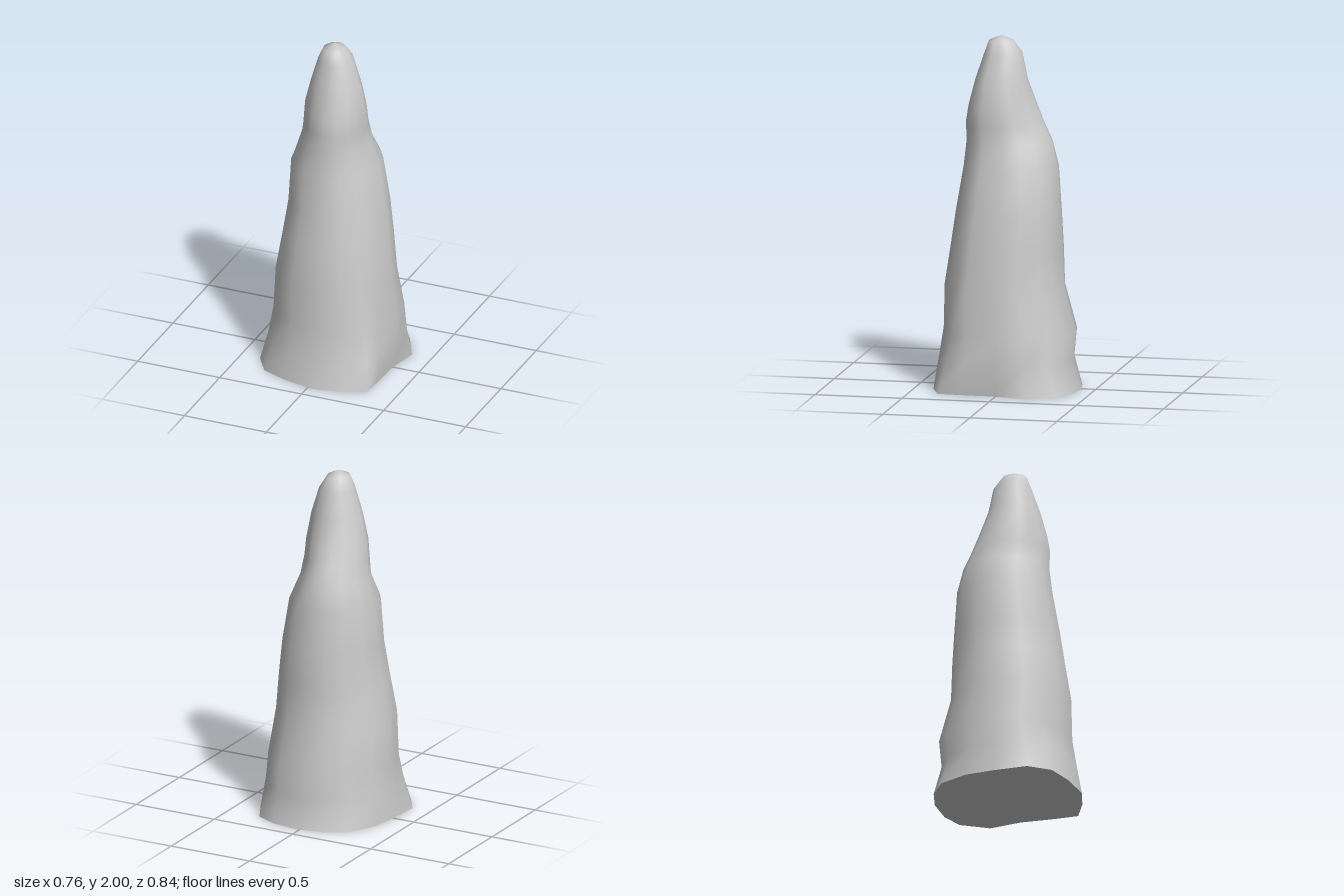
import * as THREE from 'three';

// Base outline (x, z), counter-clockwise from the front seen from above
const BASE = [
  [0.03, 0.42], [0.18, 0.39], [0.325, 0.335], [0.335, 0.2], [0.34, 0], [0.38, -0.18],
  [0.3, -0.34], [0.18, -0.4], [0.015, -0.42], [-0.13, -0.395], [-0.26, -0.325],
  [-0.345, -0.165], [-0.37, 0], [-0.385, 0.195], [-0.305, 0.32], [-0.155, 0.38],
];
const CORNER = 2; // sharp spur at the front left foot

// Each level: y, x min, x max, z min, z max, share of base outline, diagonal pinch
const LEVELS = [
  [0, -0.385, 0.385, -0.42, 0.42, 1, 0],
  [0.17, -0.365, 0.385, -0.375, 0.39, 0.6, 0],
  [0.33, -0.35, 0.365, -0.39, 0.365, 0.4, 0],
  [0.58, -0.335, 0.345, -0.32, 0.36, 0.05, 0],
  [0.8, -0.3, 0.32, -0.315, 0.325, 0, 0],
  [1.0, -0.27, 0.295, -0.305, 0.295, 0, 0],
  [1.25, -0.26, 0.25, -0.285, 0.255, 0, 0],
  [1.4, -0.21, 0.2, -0.25, 0.238, 0, 0.12],
  [1.5, -0.193, 0.195, -0.205, 0.242, 0, 0.15],
  [1.6, -0.18, 0.19, -0.165, 0.225, 0, 0.12],
  [1.75, -0.14, 0.16, -0.11, 0.185, 0, 0.06],
  [1.9, -0.095, 0.105, -0.08, 0.135, 0, 0],
  [1.97, -0.06, 0.065, -0.03, 0.11, 0, 0],
];

// One cross-section: an oval that takes on the rough foot outline near the ground
function crossSection([y, x0, x1, z0, z1, foot, pinch]) {
  const cx = (x0 + x1) / 2, cz = (z0 + z1) / 2;
  return BASE.map(([bx, bz], k) => {
    const u = bx / 0.385, v = bz / 0.42, len = Math.hypot(u, v);
    const ou = u / len, ov = v / len;
    const f = k === CORNER ? foot : foot * foot;
    const hollow = 1 - pinch * Math.max(0, -2 * ou * ov) ** 2;
    const px = THREE.MathUtils.lerp(ou, u, f) * hollow;
    const pz = THREE.MathUtils.lerp(ov, v, f) * hollow;
    return [cx + px * (x1 - x0) / 2, y, cz + pz * (z1 - z0) / 2];
  });
}

function makeGeometry(points, index) {
  const g = new THREE.BufferGeometry();
  g.setAttribute('position', new THREE.Float32BufferAttribute(points.flat(), 3));
  g.setIndex(index);
  g.computeVertexNormals();
  return g;
}

export function createModel() {
  const group = new THREE.Group();
  group.name = 'stalagmite';
  const material = new THREE.MeshStandardMaterial({ color: 0xcccccc });
  const n = BASE.length;

  // Smooth rock side, closed by a single point at the tip
  const points = LEVELS.flatMap(crossSection);
  const index = [];
  const apex = points.length;
  points.push([0.005, 2, 0.04]);
  for (let i = 0; i < LEVELS.length; i++) {
    for (let k = 0; k < n; k++) {
      const a = i * n + k, b = i * n + (k + 1) % n;
      if (i === LEVELS.length - 1) index.push(a, b, apex);
      else index.push(a, b, b + n, a, b + n, a + n);
    }
  }
  const rock = new THREE.Mesh(makeGeometry(points, index), material);
  rock.name = 'rockSpire';
  group.add(rock);

  // Flat underside
  const capIndex = [];
  for (let k = 0; k < n; k++) capIndex.push(n, (k + 1) % n, k);
  const underside = new THREE.Mesh(
    makeGeometry([...crossSection(LEVELS[0]), [0, 0, 0]], capIndex), material);
  underside.name = 'underside';
  group.add(underside);

  return group;
}
